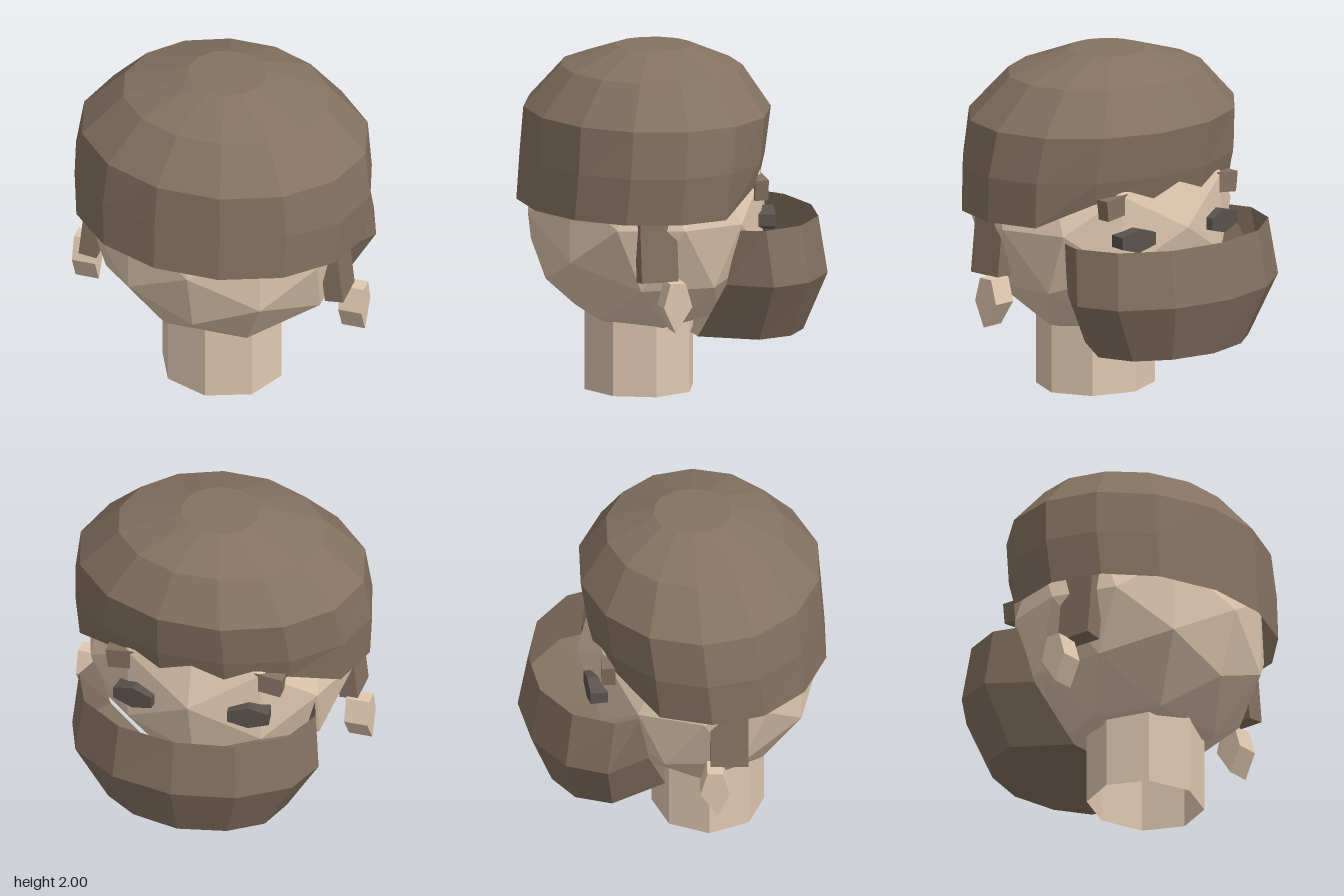
import * as THREE from 'three';

const material = (color) => new THREE.MeshStandardMaterial({ color, flatShading: true, side: THREE.DoubleSide });
const skin = material(0xe0c8b0);
const hairBrown = material(0x857261);
const eyeDark = material(0x5a534e);

function addMesh(parent, name, geometry, mat) {
  const mesh = new THREE.Mesh(geometry, mat);
  mesh.name = name;
  parent.add(mesh);
  return mesh;
}

// Skin a stack of equal-length point rings; caps close the first or last ring with a fan
function loft(rings, { closed = true, capBottom = false, capTop = false } = {}) {
  const n = rings[0].length;
  const index = [];
  const last = (rings.length - 1) * n;
  for (let r = 0; r < rings.length - 1; r++) {
    for (let i = 0; i < (closed ? n : n - 1); i++) {
      const j = (i + 1) % n;
      const a = r * n + i, b = r * n + j;
      index.push(a, b, b + n, a, b + n, a + n);
    }
  }
  for (let i = 1; i < n - 1; i++) {
    if (capBottom) index.push(0, i + 1, i);
    if (capTop) index.push(last, last + i, last + i + 1);
  }
  const geometry = new THREE.BufferGeometry();
  geometry.setAttribute('position', new THREE.Float32BufferAttribute(rings.flat(2), 3));
  geometry.setIndex(index);
  const flat = geometry.toNonIndexed();
  flat.computeVertexNormals();
  return flat;
}

// Cap of hair: 14-sided rings, hairline raised over the face (-z)
function hairGeometry() {
  const levels = [ // y, half width, back z, front z
    [1.1, 0.87, -0.48, 0.9],
    [1.37, 0.89, -0.51, 0.88],
    [1.64, 0.85, -0.55, 0.86],
    [1.88, 0.61, -0.39, 0.65],
    [2.0, 0.23, -0.11, 0.34],
  ];
  const rings = levels.map(([y, w, z0, z1], level) => {
    const ring = [];
    for (let i = 0; i < 14; i++) {
      const a = ((i + 0.5) / 14) * Math.PI * 2;
      const z = (z0 + z1) / 2 + Math.cos(a) * (z1 - z0) / 2;
      const lift = level === 0 && z < -0.28 ? 0.14 : 0;
      ring.push([Math.sin(a) * w, y + lift, z]);
    }
    return ring;
  });
  return loft(rings, { capTop: true });
}

// Beard: shell open at the top with a flat floor, mirrored half outlines
function beardGeometry() {
  const levels = [
    [0.34, [[0.34, -0.05], [0.54, -0.36], [0.47, -0.57], [0.28, -0.7], [0, -0.76]]],
    [0.68, [[0.58, -0.15], [0.74, -0.39], [0.65, -0.63], [0.37, -0.82], [0, -0.89]]],
    [1.01, [[0.66, -0.2], [0.71, -0.35], [0.61, -0.59], [0.35, -0.77], [0, -0.83]]],
  ];
  const rings = levels.map(([y, half]) => [
    ...half.map(([x, z]) => [x, y, z]),
    ...half.slice(0, -1).reverse().map(([x, z]) => [-x, y, z]),
  ]);
  return loft(rings, { closed: false, capBottom: true });
}

// Pentagonal earring pendant, extruded along x
function earringGeometry() {
  const shape = new THREE.Shape(
    [[0.31, 0.62], [0.27, 0.76], [0.18, 0.76], [0.14, 0.62], [0.24, 0.47]]
      .map(([z, y]) => new THREE.Vector2(-z, y)));
  const geometry = new THREE.ExtrudeGeometry(shape, { depth: 0.14, bevelEnabled: false });
  return geometry.rotateY(Math.PI / 2).translate(0.735, 0, 0);
}

export function createModel() {
  const model = new THREE.Group();
  model.name = 'beardedHead';

  // Head and open-ended neck
  const head = addMesh(model, 'head', new THREE.IcosahedronGeometry(1, 1), skin);
  head.scale.set(0.8, 0.74, 0.71);
  head.position.set(0, 1.05, 0.16);

  const neck = addMesh(model, 'neck', new THREE.CylinderGeometry(1, 1, 0.5, 8, 1, true), skin);
  neck.scale.set(0.36, 1, 0.325);
  neck.position.set(0, 0.25, 0.205);

  addMesh(model, 'hair', hairGeometry(), hairBrown);
  addMesh(model, 'beard', beardGeometry(), hairBrown);

  // Paired features
  for (const side of [1, -1]) {
    const prefix = side > 0 ? 'left' : 'right';

    const sideburn = addMesh(model, prefix + 'Sideburn', new THREE.BoxGeometry(0.11, 0.46, 0.22), hairBrown);
    sideburn.position.set(side * 0.72, 0.98, 0.31);
    sideburn.rotation.z = side * 0.11;

    const earring = addMesh(model, prefix + 'Earring', earringGeometry(), skin);
    if (side < 0) earring.position.x = -1.61;

    const eye = addMesh(model, prefix + 'Eye', new THREE.CylinderGeometry(0.14, 0.14, 0.1, 6), eyeDark);
    eye.rotation.set(Math.PI / 2, 0, side * 0.15);
    eye.scale.z = 0.5;
    eye.position.set(side * 0.34, 1.02, -0.45);

    const brow = addMesh(model, prefix + 'Eyebrow', new THREE.BoxGeometry(0.17, 0.12, 0.08), hairBrown);
    brow.position.set(side * 0.44, 1.22, -0.38);
    brow.rotation.z = side * -0.12;
  }

  return model;
}
